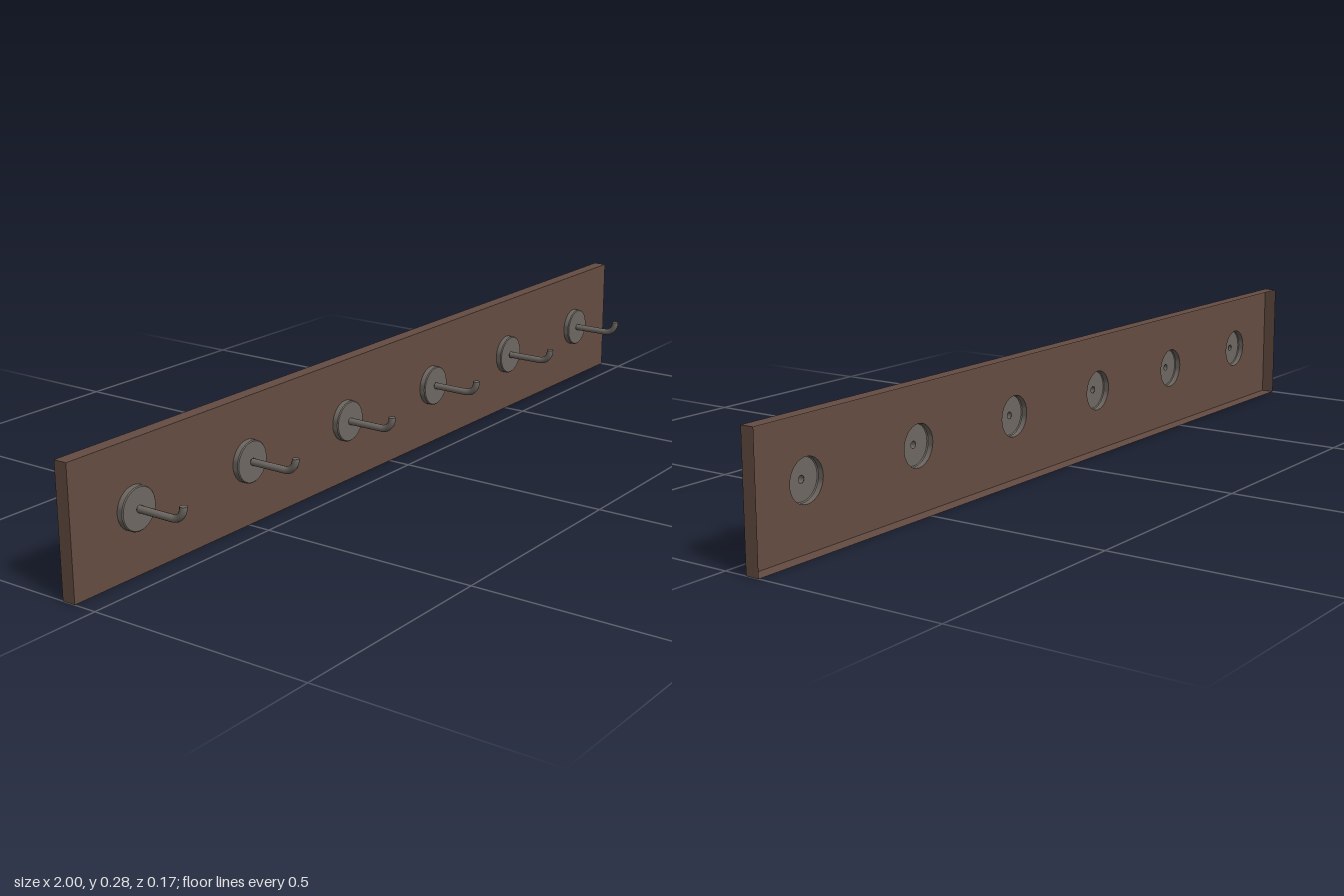
import * as THREE from 'three';
import { toCreasedNormals } from 'three/addons/utils/BufferGeometryUtils.js';

const W = 2, H = 0.28, FRONT = -0.052, BACK = -0.083;
const HOOK_Y = 0.142, DISC_R = 0.046, ROD_R = 0.0078;
const hookXs = [-0.833, -0.5, -0.167, 0.167, 0.5, 0.833];

export function createModel() {
  const wood = new THREE.MeshStandardMaterial({ color: 0x644c42, side: THREE.DoubleSide });
  wood.name = 'brown wood';
  const metal = new THREE.MeshStandardMaterial({ color: 0x6e6862, side: THREE.DoubleSide });
  metal.name = 'grey metal';

  const model = new THREE.Group();
  model.name = 'coatRack';
  const add = (parent, name, geometry, material) => {
    const mesh = new THREE.Mesh(geometry, material);
    mesh.name = name;
    parent.add(mesh);
    return mesh;
  };

  // Front panel with a round opening behind each mounting disc
  const panel = new THREE.Shape([
    new THREE.Vector2(-W / 2, 0), new THREE.Vector2(W / 2, 0),
    new THREE.Vector2(W / 2, H), new THREE.Vector2(-W / 2, H),
  ]);
  for (const x of hookXs) {
    panel.holes.push(new THREE.Path().absarc(x, HOOK_Y, DISC_R, 0, Math.PI * 2, true));
  }
  add(model, 'boardFront', new THREE.ShapeGeometry(panel, 16), wood).position.z = FRONT;

  // Board edges: the four outer sides of a box, open at the back
  const edges = new THREE.BoxGeometry(W, H, FRONT - BACK);
  edges.setIndex(Array.from(edges.index.array).slice(0, 24));
  edges.clearGroups();
  add(model, 'boardEdges', edges, wood).position.set(0, H / 2, (FRONT + BACK) / 2);

  // Hollow mounting disc with a chamfered rim and a centre hole for the rod
  const profile = [[DISC_R, 0], [DISC_R, 0.012], [0.044, 0.014], [ROD_R, 0.014]]
    .map(([r, y]) => new THREE.Vector2(r, y));
  const disc = toCreasedNormals(new THREE.LatheGeometry(profile, 32).rotateX(Math.PI / 2), 0.5);

  // Rod running forward, then bending upward
  const bend = 0.028, tipZ = 0.0755, tipY = 0.03;
  const startZ = FRONT + 0.014;
  const path = new THREE.CurvePath();
  const v = (y, z) => new THREE.Vector3(0, y, z);
  path.add(new THREE.LineCurve3(v(0, startZ), v(0, tipZ - bend)));
  const k = bend * 0.448;
  path.add(new THREE.CubicBezierCurve3(
    v(0, tipZ - bend), v(0, tipZ - k), v(k, tipZ), v(bend, tipZ)));
  path.add(new THREE.LineCurve3(v(bend, tipZ), v(tipY, tipZ)));
  const rod = new THREE.TubeGeometry(path, 48, ROD_R, 12, false);
  const cap = new THREE.CircleGeometry(ROD_R, 12).rotateX(-Math.PI / 2);

  hookXs.forEach((x, i) => {
    const hook = new THREE.Group();
    hook.name = `hook${i + 1}`;
    hook.position.set(x, HOOK_Y, 0);
    add(hook, 'mountingDisc', disc, metal).position.z = FRONT;
    add(hook, 'hookRod', rod, metal);
    add(hook, 'hookTip', cap, metal).position.set(0, tipY, tipZ);
    model.add(hook);
  });
  return model;
}
